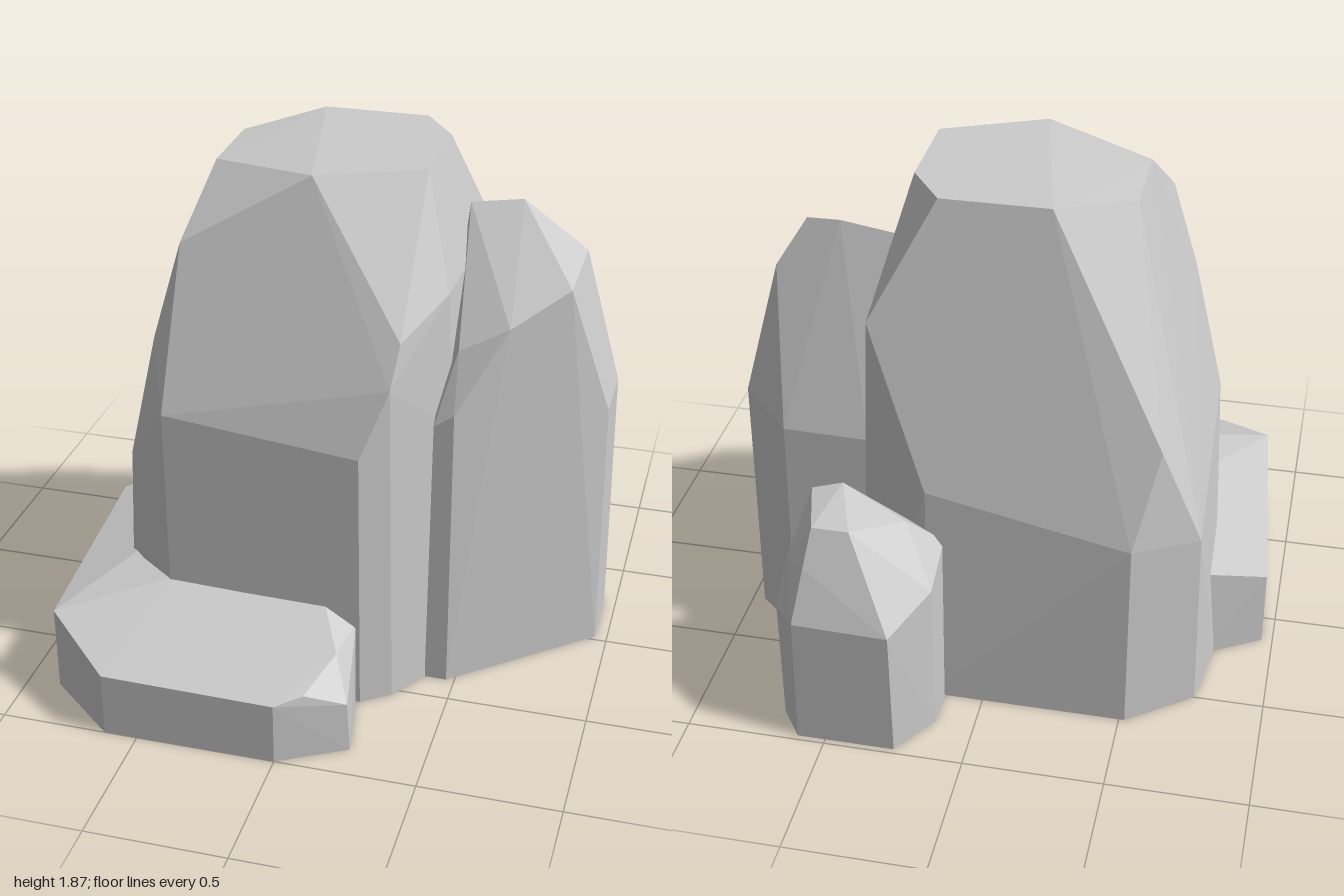
import * as THREE from 'three';
import { ConvexGeometry } from 'three/addons/geometries/ConvexGeometry.js';

const material = new THREE.MeshStandardMaterial({
  color: 0xcccccc, flatShading: true, side: THREE.DoubleSide,
});

// Faceted boulder: hull of corner points, open underneath and on the buried side.
function boulder(name, base, corners, buried) {
  const points = [
    ...base.map(([x, z]) => new THREE.Vector3(x, 0.01, z)),
    ...corners.map((c) => new THREE.Vector3(...c)),
  ];
  const pos = new ConvexGeometry(points).attributes.position;
  const hidden = buried && new THREE.Vector3(...buried).normalize();
  const kept = [];
  const tri = new THREE.Triangle();
  const normal = new THREE.Vector3();
  for (let i = 0; i < pos.count; i += 3) {
    tri.setFromAttributeAndIndices(pos, i, i + 1, i + 2);
    tri.getNormal(normal);
    if (normal.y < -0.9 || (hidden && normal.dot(hidden) > 0.88)) continue;
    for (const v of [tri.a, tri.b, tri.c]) kept.push(v.x, v.y, v.z);
  }
  const geometry = new THREE.BufferGeometry();
  geometry.setAttribute('position', new THREE.Float32BufferAttribute(kept, 3));
  geometry.computeVertexNormals();
  const mesh = new THREE.Mesh(geometry, material);
  mesh.name = name;
  return mesh;
}

export function createModel() {
  const group = new THREE.Group();
  group.name = 'rockCluster';

  // Tall central rock
  group.add(boulder('mainRock',
    [[-0.73, 0.41], [-0.5, 0.6], [0.2, 0.6], [0.3, 0.53], [0.45, 0.3],
      [0.45, -0.62], [0.2, -0.67], [-0.52, -0.67], [-0.75, -0.5], [-0.79, -0.22]],
    [
      // shoulder
      [-0.74, 0.72, -0.5], [-0.52, 0.75, -0.66], [0.2, 0.88, -0.635],
      [-0.7, 0.8, 0.4], [-0.51, 1.07, 0.585], [0.19, 1.0, 0.595], [0.45, 1.0, 0.28],
      // upper slopes
      [-0.6, 1.1, -0.56], [-0.58, 1.29, 0.43], [0.28, 1.24, 0.53], [0.3, 1.39, 0.47],
      [0.42, 1.5, 0.28], [0.42, 1.45, -0.5], [-0.49, 1.63, 0.38],
      // flat top
      [-0.44, 1.84, -0.19], [-0.44, 1.84, 0.12], [-0.19, 1.88, -0.39], [0.19, 1.88, -0.39],
      [0.31, 1.88, -0.22], [0.31, 1.88, 0.13], [-0.05, 1.88, 0.29],
    ]));

  // Pointed rock on the left flank
  group.add(boulder('sideRock',
    [[0.39, 0.39], [0.47, 0.39], [0.955, -0.02], [0.955, -0.27], [0.78, -0.42], [0.45, -0.43]],
    [
      [0.4, 1.05, 0.385], [0.47, 1.1, 0.385], [0.945, 0.98, -0.02], [0.945, 0.98, -0.27],
      [0.77, 0.92, -0.41], [0.46, 0.92, -0.42], [0.46, 1.3, 0.29], [0.63, 1.39, 0.27],
      [0.81, 1.49, 0.12], [0.81, 1.49, -0.24], [0.7, 1.28, -0.31],
      [0.58, 1.67, -0.21], [0.39, 1.64, -0.21],
    ], [-1, 0, 0]));

  // Small rock behind
  group.add(boulder('backRock',
    [[0.14, -0.62], [0.14, -0.81], [0.25, -0.98], [0.6, -0.98], [0.68, -0.87], [0.69, -0.42]],
    [
      [0.14, 0.68, -0.62], [0.14, 0.6, -0.81], [0.25, 0.52, -0.995], [0.59, 0.52, -0.985],
      [0.68, 0.5, -0.87], [0.68, 0.58, -0.42], [0.56, 0.71, -0.91], [0.64, 0.69, -0.84],
      [0.25, 0.8, -0.7], [0.41, 0.84, -0.85], [0.54, 0.84, -0.85],
      [0.6, 0.85, -0.64], [0.49, 0.88, -0.63],
    ], [0, 0, 1]));

  // Low ledge wrapping the front and right flank
  group.add(boulder('frontLedge',
    [[-0.74, -0.26], [-0.96, -0.13], [-0.88, 0.78], [-0.62, 1], [0, 1], [0.235, 0.87], [0.18, 0.58]],
    [
      [-0.75, 0.38, -0.25], [-0.96, 0.31, -0.13], [-0.88, 0.33, 0.78], [-0.62, 0.25, 1],
      [0, 0.24, 1], [0.09, 0.26, 0.94], [0.225, 0.2, 0.87], [0.16, 0.33, 0.77],
      [0.07, 0.4, 0.59], [-0.5, 0.415, 0.585], [-0.69, 0.4, 0.43], [0.18, 0.33, 0.58],
    ], [0.67, 0, -0.74]));

  return group;
}
